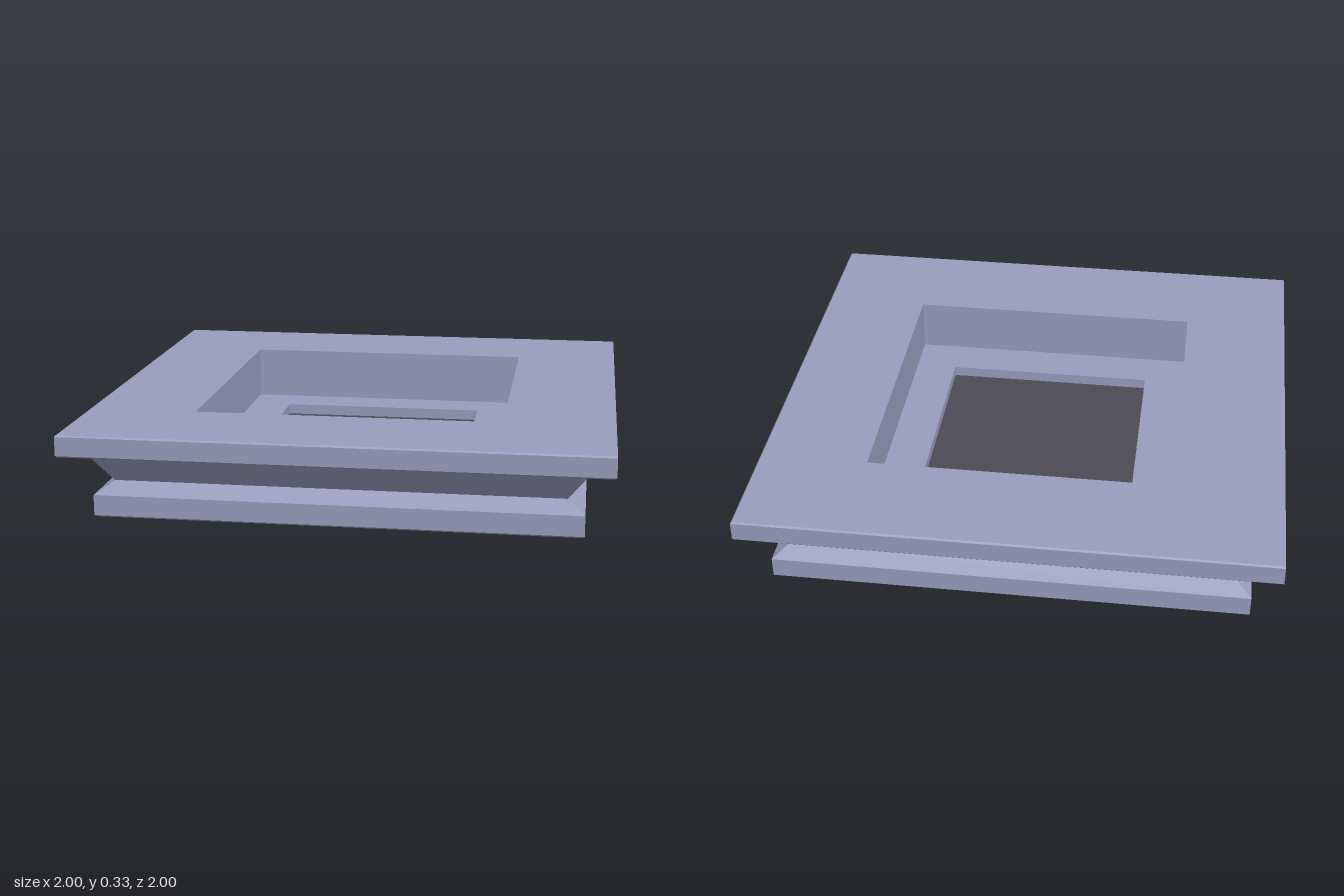
import * as THREE from 'three';

const bodyMaterial = new THREE.MeshStandardMaterial({ color: 0x999dbd });
bodyMaterial.name = 'blue grey';
const floorMaterial = new THREE.MeshStandardMaterial({ color: 0x4c4b54 });
floorMaterial.name = 'dark grey';

// Sweeps a [half width, height] profile around a square, with flat faces
function squareRing(name, profile) {
  const points = profile.map(([half, y]) => new THREE.Vector2(half * Math.SQRT2, y));
  const geometry = new THREE.LatheGeometry(points, 4, Math.PI / 4).toNonIndexed();
  geometry.computeVertexNormals();
  const mesh = new THREE.Mesh(geometry, bodyMaterial);
  mesh.name = name;
  return mesh;
}

export function createModel() {
  const group = new THREE.Group();
  group.name = 'squareBasin';
  const b = 0.006; // small edge bevel

  // Foot with sloped shoulder
  group.add(squareRing('foot', [
    [0, 0], [0.897 - b, 0], [0.897, b], [0.897, 0.083], [0.833, 0.125],
  ]));

  // Neck flaring up to the underside of the rim
  group.add(squareRing('neck', [[0.833, 0.125], [0.917, 0.25]]));

  // Overhanging rim slab
  group.add(squareRing('rim', [
    [0.917, 0.25], [1 - b, 0.25], [1, 0.25 + b], [1, 0.333 - b], [1 - b, 0.333], [0.583, 0.333],
  ]));

  // Stepped recess
  group.add(squareRing('recess', [
    [0.583, 0.333], [0.583, 0.125], [0.417, 0.125], [0.417, 0.083],
  ]));

  // Dark floor of the recess
  const floor = new THREE.Mesh(new THREE.PlaneGeometry(0.834, 0.834), floorMaterial);
  floor.name = 'recessFloor';
  floor.rotation.x = -Math.PI / 2;
  floor.position.y = 0.083;
  group.add(floor);

  return group;
}
